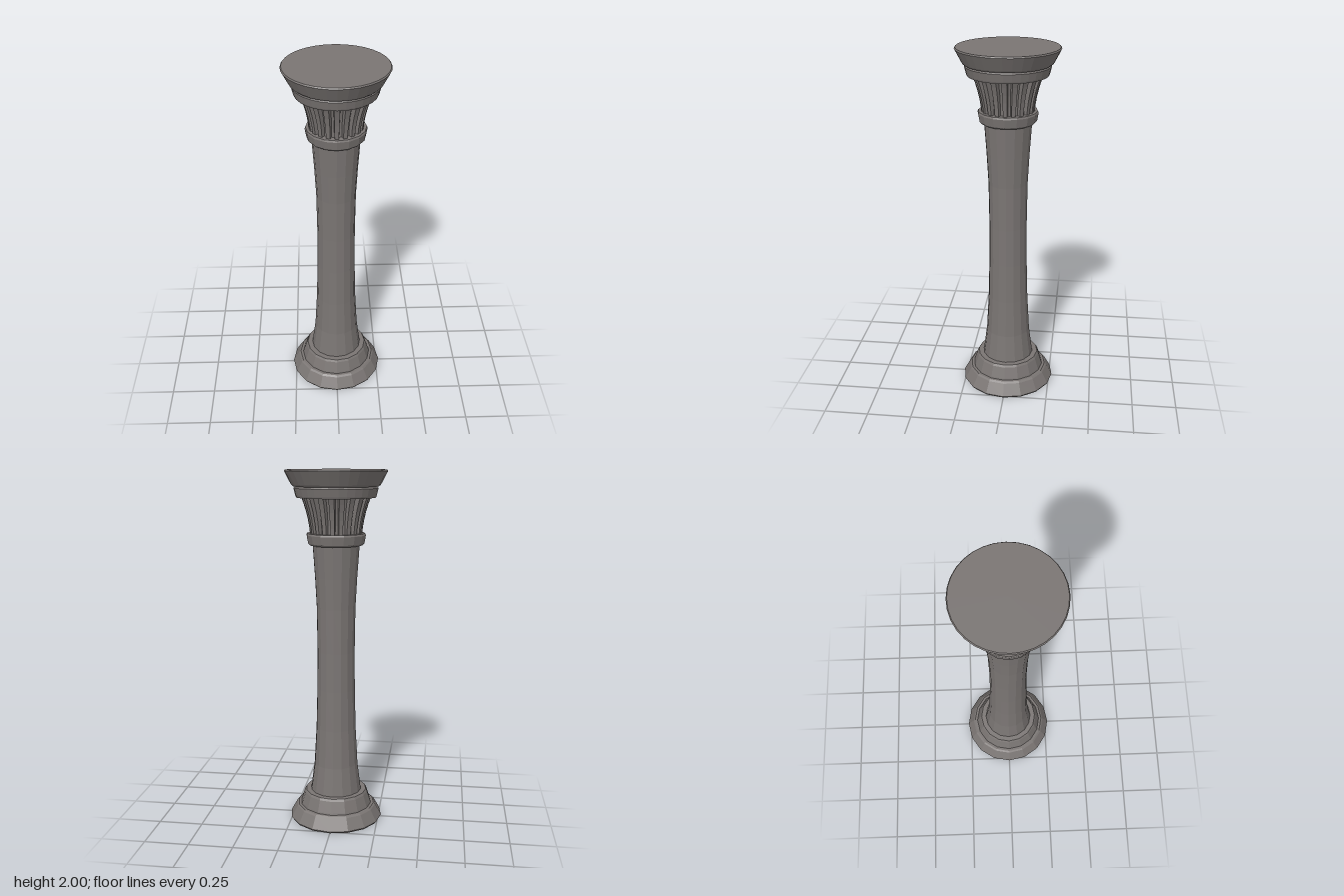
import * as THREE from 'three';

const stone = new THREE.MeshStandardMaterial({ color: 0x7a7573 });
stone.name = 'greyStone';
stone.flatShading = true;

// Turned section from [radius, height] points, listed bottom to top
function turned(name, points, sides) {
  const profile = points.map(([r, y]) => new THREE.Vector2(r, y));
  const mesh = new THREE.Mesh(new THREE.LatheGeometry(profile, sides), stone);
  mesh.name = name;
  return mesh;
}

// One capital rib: a slim box bent outward along the flare of the bell
function ribGeometry() {
  const bottom = 1.655, top = 1.865;
  const g = new THREE.BoxGeometry(1, 1, 0.04, 1, 5, 1);
  const p = g.attributes.position;
  for (let i = 0; i < p.count; i++) {
    const t = p.getY(i) + 0.5;
    const width = 0.026 + 0.012 * t;
    const taper = p.getZ(i) > 0 ? 0.8 : 1;
    p.setXYZ(
      i,
      p.getX(i) * width * taper,
      bottom + (top - bottom) * t,
      p.getZ(i) + 0.122 + 0.015 * t + 0.035 * t * t
    );
  }
  g.computeVertexNormals();
  return g;
}

export function createModel() {
  const column = new THREE.Group();
  column.name = 'column';

  // Stepped base
  column.add(turned('basePlinth', [
    [0, 0], [0.262, 0], [0.268, 0.01], [0.232, 0.075], [0.222, 0.083], [0, 0.083],
  ], 16));
  column.add(turned('baseStep', [
    [0, 0.08], [0.207, 0.08], [0.204, 0.092], [0.184, 0.155], [0.176, 0.168], [0, 0.17],
  ], 16));

  // Waisted shaft
  column.add(turned('shaft', [
    [0.147, 0.165], [0.126, 0.33], [0.114, 0.55], [0.108, 0.78],
    [0.106, 1.0], [0.109, 1.25], [0.118, 1.42], [0.131, 1.61],
  ], 16));

  // Collar under the capital
  column.add(turned('collar', [
    [0, 1.597], [0.146, 1.597], [0.156, 1.607], [0.164, 1.652], [0.16, 1.662], [0, 1.662],
  ], 16));

  // Flared bell with ribs around it
  column.add(turned('capitalBell', [
    [0.122, 1.65], [0.126, 1.71], [0.136, 1.77], [0.152, 1.83], [0.164, 1.865],
  ], 32));
  const ribs = new THREE.Group();
  ribs.name = 'capitalRibs';
  const geometry = ribGeometry();
  const count = 20;
  for (let i = 0; i < count; i++) {
    const rib = new THREE.Mesh(geometry, stone);
    rib.name = 'rib';
    rib.rotation.y = (i / count) * Math.PI * 2;
    ribs.add(rib);
  }
  column.add(ribs);

  // Ring and top slab
  column.add(turned('capitalRing', [
    [0, 1.853], [0.216, 1.853], [0.22, 1.862], [0.23, 1.903], [0.222, 1.912], [0, 1.918],
  ], 32));
  column.add(turned('topSlab', [
    [0, 1.912], [0.232, 1.912], [0.243, 1.922], [0.28, 1.993], [0.275, 2], [0, 2],
  ], 32));

  return column;
}
